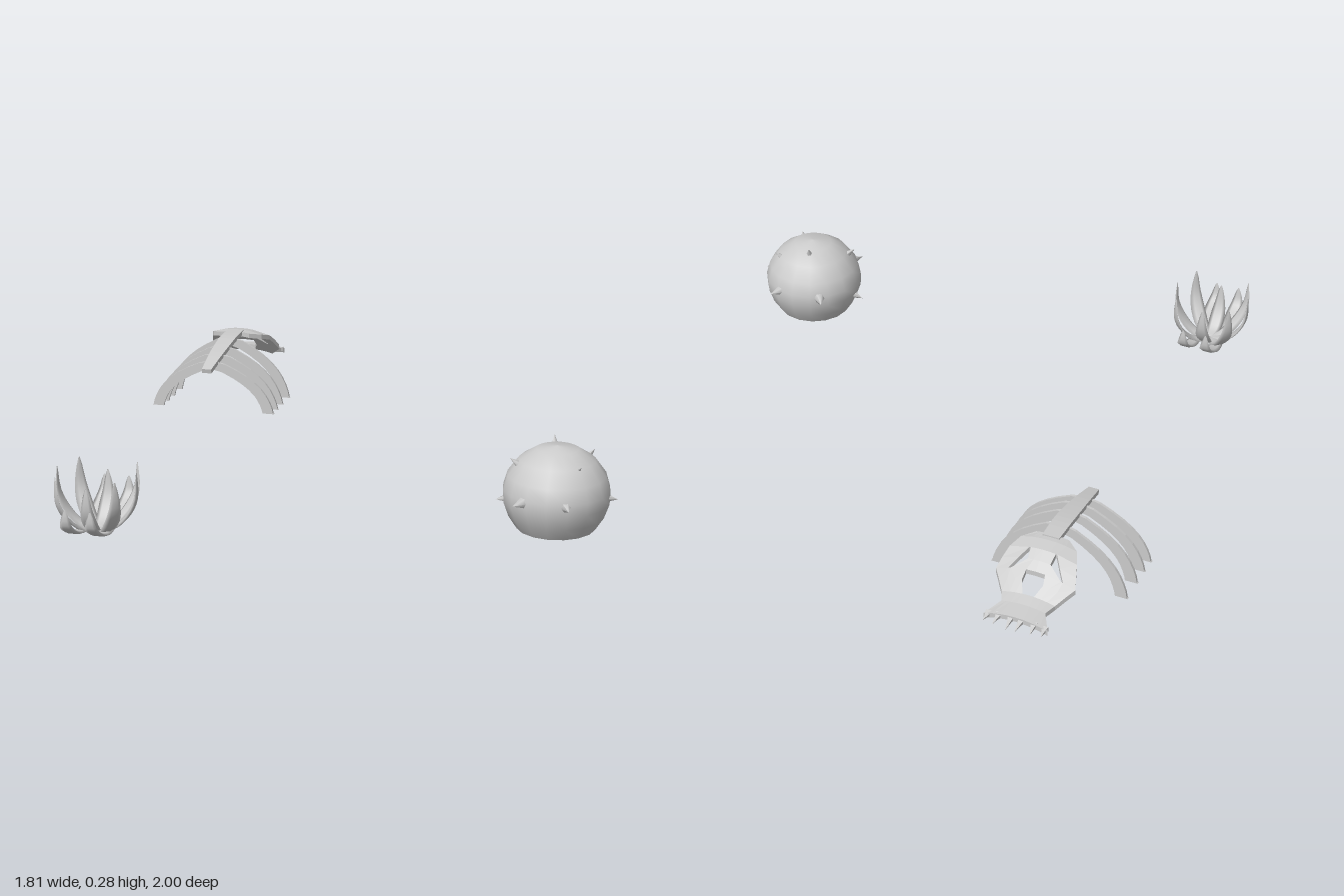
import * as THREE from 'three';

const smooth = new THREE.MeshStandardMaterial({ color: 0xcccccc, side: THREE.DoubleSide });
const faceted = new THREE.MeshStandardMaterial({ color: 0xcccccc, flatShading: true, side: THREE.DoubleSide });
const V = (x, y, z) => new THREE.Vector3(x, y, z);

function add(parent, name, geometry, material) {
  const mesh = new THREE.Mesh(geometry, material);
  mesh.name = name;
  parent.add(mesh);
  return mesh;
}

function toGeometry(positions, index) {
  const g = new THREE.BufferGeometry();
  g.setAttribute('position', new THREE.Float32BufferAttribute(positions, 3));
  g.setIndex(index);
  g.computeVertexNormals();
  return g;
}

// Sweeps a four-cornered or rounder section along a curve; size(t) gives [half width, half thickness]
function sweep(points, across, size, { steps = 12, sides = 8, turn = 0 } = {}) {
  const curve = new THREE.CatmullRomCurve3(points);
  const positions = [], index = [];
  for (let i = 0; i <= steps; i++) {
    const t = i / steps;
    const p = curve.getPoint(t);
    const up = curve.getTangent(t).cross(across).normalize();
    const [w, h] = size(t);
    for (let k = 0; k < sides; k++) {
      const a = turn + (k / sides) * Math.PI * 2;
      const q = p.clone().addScaledVector(across, w * Math.cos(a)).addScaledVector(up, h * Math.sin(a));
      positions.push(q.x, Math.max(0, q.y), q.z);
      if (i < steps) {
        const n = (k + 1) % sides, r = i * sides;
        index.push(r + k, r + n, r + sides + n, r + k, r + sides + n, r + sides + k);
      }
    }
  }
  const last = steps * sides;
  for (let k = 1; k < sides - 1; k++) index.push(0, k + 1, k, last, last + k, last + k + 1);
  return toGeometry(positions, index);
}

// Round cactus with a flat base and cone spikes
function createCactus() {
  const g = new THREE.Group();
  g.name = 'cactus';
  g.position.set(0.706, 0, 0.45);
  const profile = [[0.122, 0.01], [0.148, 0.05], [0.164, 0.095], [0.166, 0.135], [0.153, 0.18],
    [0.118, 0.228], [0.065, 0.262], [0, 0.272]].map(([r, y]) => new THREE.Vector2(r, y));
  add(g, 'cactusBody', new THREE.LatheGeometry(profile, 16), smooth);
  const base = add(g, 'cactusBase', new THREE.CircleGeometry(0.122, 16), smooth);
  base.rotation.x = Math.PI / 2;
  base.position.y = 0.01;

  const tips = [[-0.19, -0.045, 0], [0.19, -0.01, 0], [0.072, 0.004, 0.19], [-0.1, 0.004, 0.183],
    [-0.12, 0.01, -0.18], [0.072, 0.01, -0.19], [-0.135, 0.112, 0.055], [-0.025, 0.155, -0.08],
    [0.1, 0.115, -0.09], [0.09, 0.112, 0.09]];
  for (const tip of tips) {
    const dir = V(...tip).normalize();
    const reach = V(...tip).length() - 0.025;
    const spike = add(g, 'spike', new THREE.ConeGeometry(0.018, 0.05, 6), smooth);
    spike.position.copy(dir).multiplyScalar(reach).add(V(0, 0.125, 0));
    spike.quaternion.setFromUnitVectors(V(0, 1, 0), dir);
  }
  return g;
}

// Tuft of curved, pointed leaves
function createPlant() {
  const g = new THREE.Group();
  g.name = 'plant';
  g.position.set(-0.64, 0, 0.828);
  const leafSize = t => {
    const s = Math.pow(Math.sin(Math.PI * (0.12 + 0.88 * t)), 0.8);
    return [0.002 + 0.024 * s, 0.001 + 0.005 * s];
  };
  const leaf = (angle, reach, height, x0 = 0) => {
    const path = [[0, 0.014], [0.42, 0.022], [0.78, 0.27 * height + 0.012], [0.97, 0.6 * height], [1, height]]
      .map(([d, y]) => V(x0 + Math.cos(angle) * d * reach, y, Math.sin(angle) * d * reach));
    const across = V(-Math.sin(angle), 0, Math.cos(angle));
    add(g, 'leaf', sweep(path, across, leafSize, { sides: 6 }), smooth);
  };
  for (const s of [-1, 1]) {
    leaf(s > 0 ? 0 : Math.PI, 0.128, 0.2);
    leaf(s * Math.PI / 2, 0.095, 0.17);
    for (const side of [-1, 1]) {
      leaf(Math.atan2(s * 0.1, side * 0.095), 0.138, 0.2);
      leaf(s * Math.PI / 2, 0.17, 0.127, side * 0.04);
    }
  }
  return g;
}

// Skull: a curved plate of cells, with eye and nose openings left out
function skullGeometry() {
  // z, y, then half widths: nose edge, eye inner, eye outer, outline
  const rows = [
    [-0.685, 0.212, 0.015, 0.03, 0.04, 0.053],
    [-0.715, 0.212, 0.025, 0.04, 0.055, 0.09],
    [-0.757, 0.205, 0.02, 0.04, 0.044, 0.108],
    [-0.787, 0.185, 0.018, 0.036, 0.066, 0.118],
    [-0.812, 0.163, 0.03, 0.08, 0.087, 0.127],
    [-0.835, 0.14, 0.034, 0.055, 0.08, 0.108],
    [-0.864, 0.112, 0.018, 0.04, 0.06, 0.085],
    [-0.9, 0.103, 0.02, 0.04, 0.055, 0.07],
    [-0.957, 0.097, 0.025, 0.05, 0.075, 0.102],
  ];
  const positions = [], index = [];
  for (const drop of [0, 0.016]) {
    for (const [z, y, ...half] of rows) {
      for (const x of [...half.map(h => -h).reverse(), 0, ...half]) {
        positions.push(x, y - 1.7 * x * x - drop, z);
      }
    }
  }
  const under = rows.length * 9;
  const solid = (r, j) => {
    if (r < 0 || r >= rows.length - 1 || j < 0 || j > 7) return false;
    const k = j < 4 ? 3 - j : j - 4;
    const eye = k === 2 && (r === 2 || r === 3);
    const nose = k === 0 && (r === 4 || r === 5);
    return !eye && !nose;
  };
  const quad = (a, b, c, d) => index.push(a, b, c, a, c, d);
  for (let r = 0; r < rows.length - 1; r++) {
    for (let j = 0; j < 8; j++) {
      if (!solid(r, j)) continue;
      const a = r * 9 + j, b = a + 1, c = b + 9, d = a + 9;
      quad(a, b, c, d);
      quad(a + under, d + under, c + under, b + under);
      const edges = [[a, b, r - 1, j], [b, c, r, j + 1], [c, d, r + 1, j], [d, a, r, j - 1]];
      for (const [p, q, nr, nj] of edges) {
        if (!solid(nr, nj)) quad(p, p + under, q + under, q);
      }
    }
  }
  return toGeometry(positions, index);
}

// Animal bones: spine, four rib arches and the skull
function createSkeleton() {
  const g = new THREE.Group();
  g.name = 'skeleton';
  g.position.x = -0.685;
  const box = { sides: 4, turn: Math.PI / 4 };

  const spine = [[0.158, -0.36], [0.18, -0.45], [0.197, -0.54], [0.207, -0.62], [0.208, -0.7]]
    .map(([y, z]) => V(0, y, z));
  add(g, 'spine', sweep(spine, V(1, 0, 0), t => [0.024 + 0.017 * Math.sin(t * 2.2), 0.011], box), faceted);

  for (const [z, top] of [[-0.425, 0.162], [-0.478, 0.175], [-0.54, 0.186], [-0.622, 0.195]]) {
    const half = [[0.205, -0.02], [0.195, 0.03], [0.165, 0.09], [0.1, 0.15]]
      .map(([x, y]) => [x, y * top / 0.195]);
    const path = [...half.map(([x, y]) => V(-x, y, z)), V(0, top, z),
      ...half.reverse().map(([x, y]) => V(x, y, z))];
    const ribSize = t => [0.0065, 0.021 + 0.007 * Math.abs(2 * t - 1)];
    add(g, 'rib', sweep(path, V(0, 0, 1), ribSize, { ...box, steps: 20 }), faceted);
  }

  add(g, 'skull', skullGeometry(), faceted);
  for (const side of [-1, 1]) {
    for (const [x, tipX, tipZ] of [[0.088, 0.092, -0.985], [0.054, 0.06, -0.992], [0.017, 0.014, -1]]) {
      const path = [V(side * x, 0.088 - 1.2 * x * x, -0.945), V(side * tipX, 0.076, tipZ)];
      add(g, 'tooth', sweep(path, V(1, 0, 0), t => [0.016 * (1 - t), 0.011 * (1 - t)],
        { ...box, steps: 2 }), faceted);
    }
  }
  return g;
}

export function createModel() {
  const model = new THREE.Group();
  model.name = 'desertProps';
  model.add(createCactus(), createPlant(), createSkeleton());
  return model;
}
